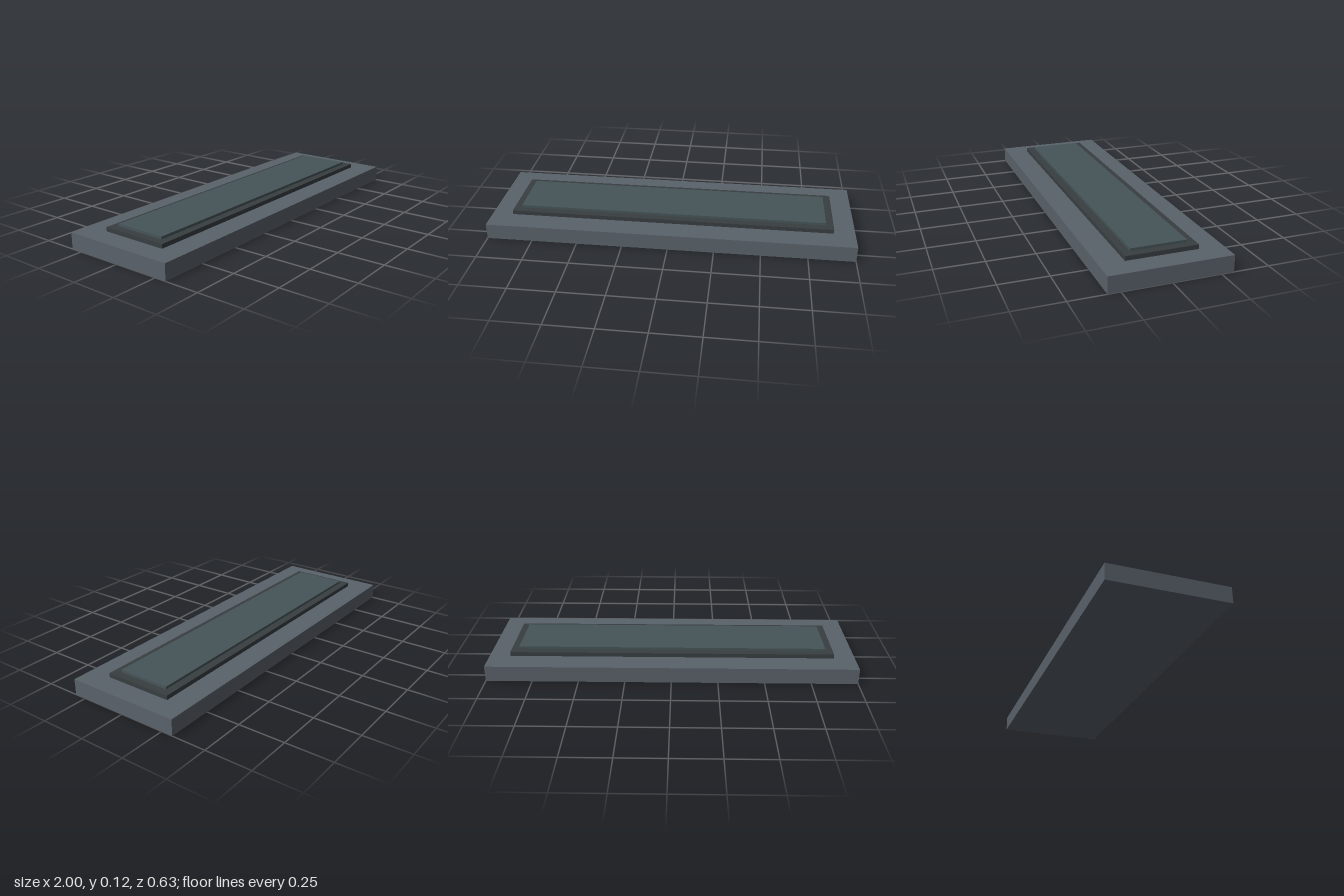
import * as THREE from 'three';

// Stacked slabs: name, width, depth, bottom, top, colour
const slabs = [
  ['base', 2, 0.628, 0, 0.087, 0x59626a],
  ['frame', 1.77, 0.374, 0.087, 0.11, 0x383e41],
  ['panel', 1.686, 0.29, 0.11, 0.124, 0x465558],
];

export function createModel() {
  const model = new THREE.Group();
  model.name = 'steppedPlate';
  for (const [name, width, depth, bottom, top, color] of slabs) {
    const slab = new THREE.Mesh(
      new THREE.BoxGeometry(width, top - bottom, depth),
      new THREE.MeshStandardMaterial({ color })
    );
    slab.name = name;
    slab.position.y = (bottom + top) / 2;
    model.add(slab);
  }
  return model;
}
